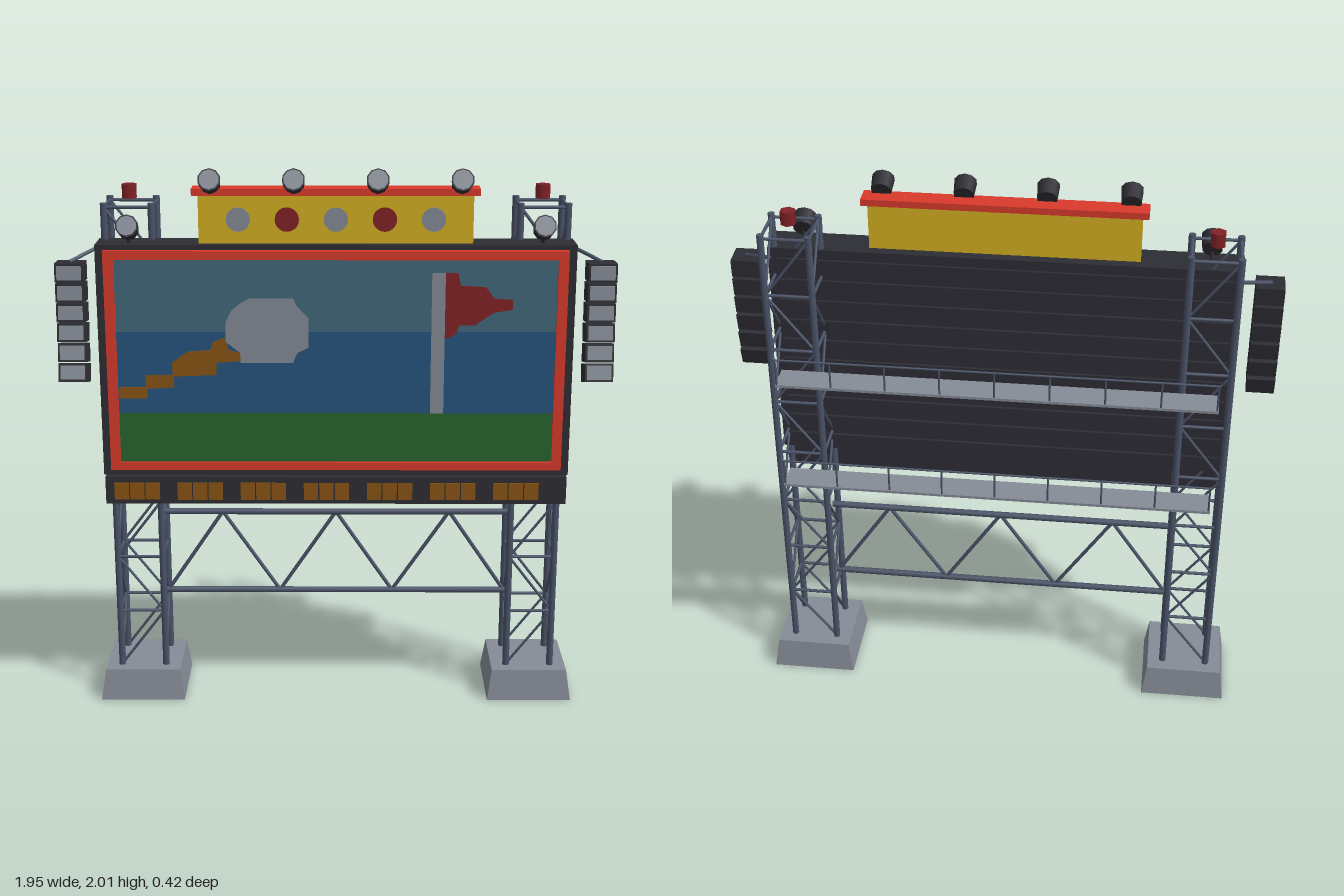
import * as THREE from 'three';

const mat = (name, color) => {
  const m = new THREE.MeshStandardMaterial({ color });
  m.name = name;
  return m;
};

export function createModel() {
  const root = new THREE.Group();
  root.name = 'stadiumScreen';
  const steel = mat('steel blue', 0x4a5368);
  const grey = mat('light grey', 0x868c97);
  const dark = mat('charcoal', 0x2d2d34);
  const red = mat('bright red', 0xd93a2b);
  const yellow = mat('yellow', 0xd4b022);
  const maroon = mat('dark red', 0x822226);
  const sky = mat('sky', 0x42697d);
  const blue = mat('blue', 0x27557f);
  const green = mat('green', 0x28652f);
  const amber = mat('amber', 0x8a5412);

  const add = (name, geo, material, parent = root) => {
    const m = new THREE.Mesh(geo, material);
    m.name = name;
    parent.add(m);
    return m;
  };
  // Box given by its minimum and maximum on each axis
  const box = (name, material, x0, x1, y0, y1, z0, z1, parent) => {
    const m = add(name, new THREE.BoxGeometry(x1 - x0, y1 - y0, z1 - z0), material, parent);
    m.position.set((x0 + x1) / 2, (y0 + y1) / 2, (z0 + z1) / 2);
    return m;
  };
  // Round bar between two points
  const bar = (name, a, b, r, parent, material = steel) => {
    const p = new THREE.Vector3(...a), q = new THREE.Vector3(...b);
    const d = q.clone().sub(p);
    const m = add(name, new THREE.CylinderGeometry(r, r, d.length(), 8), material, parent);
    m.position.copy(p).add(q).multiplyScalar(0.5);
    m.quaternion.setFromUnitVectors(new THREE.Vector3(0, 1, 0), d.normalize());
    return m;
  };
  // Thin painted outline on the screen
  const plate = (name, material, pts) => {
    const shape = new THREE.Shape(pts.map(p => new THREE.Vector2(...p)));
    const geo = new THREE.ExtrudeGeometry(shape, { depth: 0.004, bevelEnabled: false });
    add(name, geo, material).position.z = 0.194;
  };

  // Lattice towers on tapered footings
  const zMid = -0.013, half = 0.083, base = 0.117, step = 0.2175;
  for (const side of [-1, 1]) {
    const cx = side * 0.728;
    const tower = new THREE.Group();
    tower.name = side > 0 ? 'leftTower' : 'rightTower';
    root.add(tower);

    const foot = new THREE.CylinderGeometry(0.14 * Math.SQRT2, 0.157 * Math.SQRT2, 0.115, 4).toNonIndexed();
    foot.rotateY(Math.PI / 4);
    foot.computeVertexNormals();
    add('footing', foot, grey, tower).position.set(cx, 0.0575, zMid);

    const corners = [[-1, 1], [1, 1], [1, -1], [-1, -1]].map(([x, z]) => [cx + x * half, zMid + z * 0.085]);
    corners.forEach(([x, z], i) => {
      bar('towerLeg', [x, 0.1, z], [x, 1.872, z], 0.0125, tower);
      const [nx, nz] = corners[(i + 1) % 4];
      for (let k = 0; k < 8; k++) {
        const y = base + k * step, top = y + step;
        bar('towerRung', [x, top, z], [nx, top, nz], 0.006, tower);
        // Diagonals zigzag, with opposite faces matching
        const flip = (k % 2 === 1) !== (i > 1);
        bar('towerBrace', [x, flip ? top : y, z], [nx, flip ? y : top, nz], 0.005, tower);
      }
    });
    add('beacon', new THREE.CylinderGeometry(0.028, 0.028, 0.05, 6), maroon, tower)
      .position.set(cx + side * 0.002, 1.902, zMid);
  }

  // Truss joining the towers
  for (const y of [0.385, 0.7]) bar('trussChord', [-0.645, y, zMid], [0.645, y, zMid], 0.012);
  for (let i = 0; i < 6; i++) {
    const x = -0.636 + i * 0.212, up = i % 2 === 0;
    bar('trussDiagonal', [x, up ? 0.385 : 0.7, zMid], [x + 0.212, up ? 0.7 : 0.385, zMid], 0.007);
  }

  // Screen cabinet with ribbed back
  box('cabinet', dark, -0.832, 0.832, 0.912, 1.745, 0.055, 0.188);
  for (let i = 0; i < 10; i++) {
    const y = 0.935 + i * 0.081;
    box('backRib', dark, -0.8, 0.8, y, y + 0.045, 0.044, 0.056);
  }

  // Red frame around the picture
  const rect = (S, x, y0, y1) => new S([[-x, y0], [x, y0], [x, y1], [-x, y1]].map(p => new THREE.Vector2(...p)));
  const frame = rect(THREE.Shape, 0.803, 0.937, 1.728);
  frame.holes.push(rect(THREE.Path, 0.768, 0.965, 1.697));
  add('screenFrame', new THREE.ExtrudeGeometry(frame, { depth: 0.024, bevelEnabled: false }), red).position.z = 0.186;

  // Picture: sky, distance and grass bands, then painted shapes
  for (const [name, m, y0, y1] of [['grassBand', green, 0.965, 1.145], ['blueBand', blue, 1.145, 1.44], ['skyBand', sky, 1.44, 1.697]])
    box(name, m, -0.768, 0.768, y0, y1, 0.187, 0.195);
  plate('trail', amber, [
    [-0.765, 1.24], [-0.67, 1.24], [-0.67, 1.285], [-0.575, 1.285], [-0.575, 1.33], [-0.52, 1.37], [-0.44, 1.375],
    [-0.43, 1.405], [-0.39, 1.42], [-0.375, 1.375], [-0.335, 1.365], [-0.335, 1.335], [-0.42, 1.33], [-0.42, 1.285],
    [-0.57, 1.28], [-0.57, 1.24], [-0.665, 1.235], [-0.665, 1.2], [-0.765, 1.2]]);
  plate('cloud', grey, [
    [-0.3, 1.56], [-0.15, 1.56], [-0.135, 1.53], [-0.095, 1.49], [-0.095, 1.385], [-0.135, 1.365], [-0.15, 1.33],
    [-0.335, 1.33], [-0.335, 1.365], [-0.385, 1.405], [-0.385, 1.475], [-0.365, 1.515], [-0.335, 1.54]]);
  plate('flagPole', grey, [[0.333, 1.145], [0.38, 1.145], [0.38, 1.65], [0.333, 1.65]]);
  plate('flag', maroon, [
    [0.38, 1.65], [0.423, 1.65], [0.433, 1.605], [0.52, 1.6], [0.55, 1.56], [0.615, 1.555], [0.615, 1.52],
    [0.55, 1.51], [0.52, 1.49], [0.485, 1.465], [0.43, 1.465], [0.42, 1.435], [0.395, 1.42], [0.38, 1.42]]);

  // Ticker strip with groups of three amber cells
  box('ticker', dark, -0.832, 0.832, 0.795, 0.896, 0.118, 0.168);
  for (let g = 0; g < 7; g++) for (let c = 0; c < 3; c++) {
    const x = -0.8 + g * 0.228 + c * 0.056;
    box('tickerCell', amber, x, x + 0.052, 0.811, 0.875, 0.167, 0.172);
  }

  // Crown sign with discs and red cap
  box('crownSign', yellow, -0.475, 0.475, 1.745, 1.913, 0.093, 0.152);
  box('crownCap', red, -0.497, 0.497, 1.91, 1.934, 0.083, 0.16);
  for (let i = 0; i < 5; i++) {
    const disc = add('crownDisc', new THREE.CylinderGeometry(0.042, 0.042, 0.008, 20), i % 2 ? maroon : grey);
    disc.rotation.x = Math.PI / 2;
    disc.position.set((i - 2) * 0.169, 1.828, 0.154);
  }

  // Floodlights on the crown and above the cabinet corners
  const lamps = [-0.432, -0.144, 0.144, 0.432].map(x => [x, 1.958]).concat([[-0.718, 1.8], [0.718, 1.8]]);
  for (const [x, y] of lamps) {
    const lamp = new THREE.Group();
    lamp.name = 'floodlight';
    lamp.position.set(x, y, 0.163);
    lamp.rotation.x = -0.42;
    root.add(lamp);
    add('lampBody', new THREE.CylinderGeometry(0.04, 0.036, 0.062, 10), dark, lamp).rotation.x = Math.PI / 2;
    const lens = add('lampLens', new THREE.CylinderGeometry(0.035, 0.035, 0.005, 10), grey, lamp);
    lens.rotation.x = Math.PI / 2;
    lens.position.z = 0.031;
    bar('lampStem', [x, y - 0.055, 0.14], [x, y, 0.155], 0.008, root, dark);
  }

  // Hanging speaker arrays, tilting more towards the bottom
  for (const side of [-1, 1]) {
    for (let i = 0; i < 6; i++) {
      const unit = new THREE.Group();
      unit.name = 'speaker';
      unit.position.set(side * 0.927, 1.642 - i * 0.0725, 0.127 + 0.0006 * i * i);
      unit.rotation.x = -0.05 - i * 0.042;
      root.add(unit);
      box('speakerBox', dark, -0.05, 0.05, -0.033, 0.033, -0.045, 0.045, unit);
      box('speakerGrille', grey, -0.043, 0.043, -0.025, 0.025, 0.044, 0.048, unit);
    }
    bar('speakerArm', [side * 0.93, 1.675, 0.125], [side * 0.82, 1.72, 0.03], 0.007);
  }

  // Service walkways with rear railings
  for (const y of [0.918, 1.342]) {
    box('walkway', grey, -0.773, 0.773, y - 0.005, y + 0.005, -0.213, -0.108);
    bar('handrail', [-0.773, y + 0.103, -0.207], [0.773, y + 0.103, -0.207], 0.004);
    for (let i = 0; i < 9; i++) {
      const x = -0.768 + i * 0.192;
      bar('railPost', [x, y, -0.207], [x, y + 0.103, -0.207], 0.0035);
    }
  }
  return root;
}
